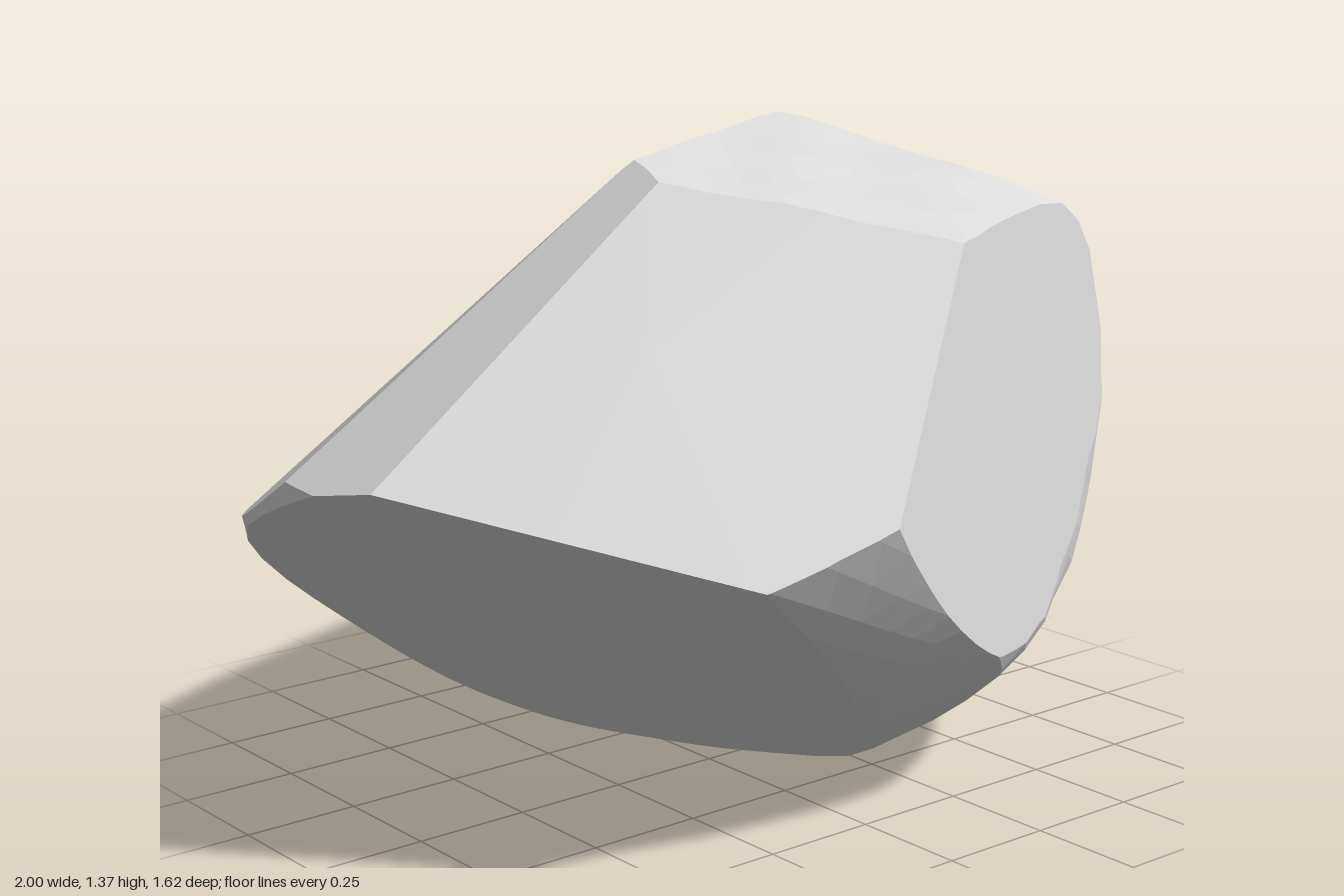
import * as THREE from 'three';

const CENTER = new THREE.Vector3(0, 0.7, 0);

// Sheared-off flat faces: normal x, y, z and distance from the origin
const cuts = [
  [0.42, 0.082, 0.904, 0.70],     // front
  [-0.45, 0.63, 0.63, 1.06],      // front shoulder
  [-0.547, -0.79, 0.277, -0.04],  // underside slope
  [-0.306, 0.70, -0.642, 0.968],  // broad back slope
  [-0.483, 0.742, -0.466, 1.079], // back slope towards the tip
  [-0.595, 0.804, 0.007, 1.214],  // ridge face
];

// Worn faces that blend into each other
const worn = [
  [0.00, 0.98, 0.20, 1.315],   // crown
  [0.10, 0.95, 0.30, 1.34],    // crown front
  [0.45, 0.89, 0.00, 1.405],   // crown edge
  [0.80, 0.60, 0.00, 1.36],    // upper side
  [0.98, 0.20, -0.05, 1.11],   // side
  [0.85, -0.50, 0.10, 0.645],  // lower side
  [0.70, -0.72, -0.05, 0.39],  // side underneath
  [0.50, 0.60, -0.60, 1.24],   // upper back corner
  [0.70, 0.10, -0.70, 0.92],   // back corner
  [0.35, 0.00, -0.94, 0.84],   // back edge
  [0.00, -0.10, -1.00, 0.745], // back
  [0.00, -0.75, -0.66, 0.27],  // lower back
  [0.45, -0.65, -0.60, 0.38],  // lower back side
  [-0.75, -0.20, -0.65, 0.82], // back corner by the tip
  [-0.50, -0.60, -0.60, 0.39], // lower back corner
  [-1.00, 0.00, 0.00, 1.00],   // tip
  [0.35, -0.94, 0.00, 0.035],  // base slope
  [0.00, -1.00, -0.10, 0.035], // base
  [0.00, -0.70, 0.70, 0.23],   // lower front
  [0.40, -0.75, 0.50, 0.25],   // lower front corner
  [-0.30, -0.75, 0.60, 0.13],  // lower front by the underside
  [0.55, -0.08, 0.83, 0.68],   // front corner
  [-0.085, -0.32, 0.945, 0.55], // front below the shoulder
].map(([x, y, z, d]) => {
  const normal = new THREE.Vector3(x, y, z);
  return { normal, reach: d - normal.dot(CENTER) };
});

const hollow = new THREE.Vector3(0.8, 0.17, -0.5).normalize();

// Rounded distance from the centre to the worn faces, with a hollow and bumps
function wornRadius(dir) {
  const p = 20;
  let sum = 0;
  for (const { normal, reach } of worn) sum += Math.max(0, normal.dot(dir) / reach) ** p;
  let r = 1 / Math.max(sum ** (1 / p), 0.6);
  r *= 1 - 0.08 * Math.exp(-(1 - dir.dot(hollow)) / 0.03);
  r *= 1 + 0.007 * Math.sin(11 * dir.x + 6 * dir.y) * Math.sin(10 * dir.z - 8 * dir.y + 1);
  return r;
}

// Slice polygons with a plane and close the opening with a flat cap
function shear(polygons, [x, y, z, d]) {
  const normal = new THREE.Vector3(x, y, z);
  const kept = [];
  const rim = [];
  for (const polygon of polygons) {
    const part = [];
    let exit = null;
    let entry = null;
    polygon.forEach((a, i) => {
      const b = polygon[(i + 1) % polygon.length];
      const da = normal.dot(a) - d;
      const db = normal.dot(b) - d;
      if (da <= 0) part.push(a);
      if ((da <= 0) !== (db <= 0)) {
        const hit = a.clone().lerp(b, da / (da - db));
        part.push(hit);
        if (da <= 0) exit = hit;
        else entry = hit;
      }
    });
    if (part.length > 2) kept.push(part);
    if (exit && entry) rim.push([entry, exit]);
  }
  const middle = new THREE.Vector3();
  for (const [a] of rim) middle.addScaledVector(a, 1 / rim.length);
  for (const [a, b] of rim) kept.push([a, b, middle]);
  return kept;
}

export function createModel() {
  const group = new THREE.Group();
  group.name = 'rock';
  const stone = new THREE.MeshStandardMaterial({ color: 0xdcdcdc });
  stone.name = 'stone grey';
  stone.flatShading = true;

  // Faceted worn body
  const pos = new THREE.IcosahedronGeometry(1, 10).attributes.position;
  let polygons = [];
  for (let i = 0; i < pos.count; i += 3) {
    polygons.push([0, 1, 2].map((k) => {
      const v = new THREE.Vector3().fromBufferAttribute(pos, i + k).normalize();
      return v.multiplyScalar(wornRadius(v)).add(CENTER);
    }));
  }

  // Flat sheared faces
  for (const cut of cuts) polygons = shear(polygons, cut);

  // Fan every polygon into triangles
  const points = [];
  for (const polygon of polygons) {
    for (let i = 2; i < polygon.length; i++) points.push(polygon[0], polygon[i - 1], polygon[i]);
  }
  const geometry = new THREE.BufferGeometry().setFromPoints(points);
  geometry.computeVertexNormals();

  const boulder = new THREE.Mesh(geometry, stone);
  boulder.name = 'boulder';
  group.add(boulder);
  return group;
}
